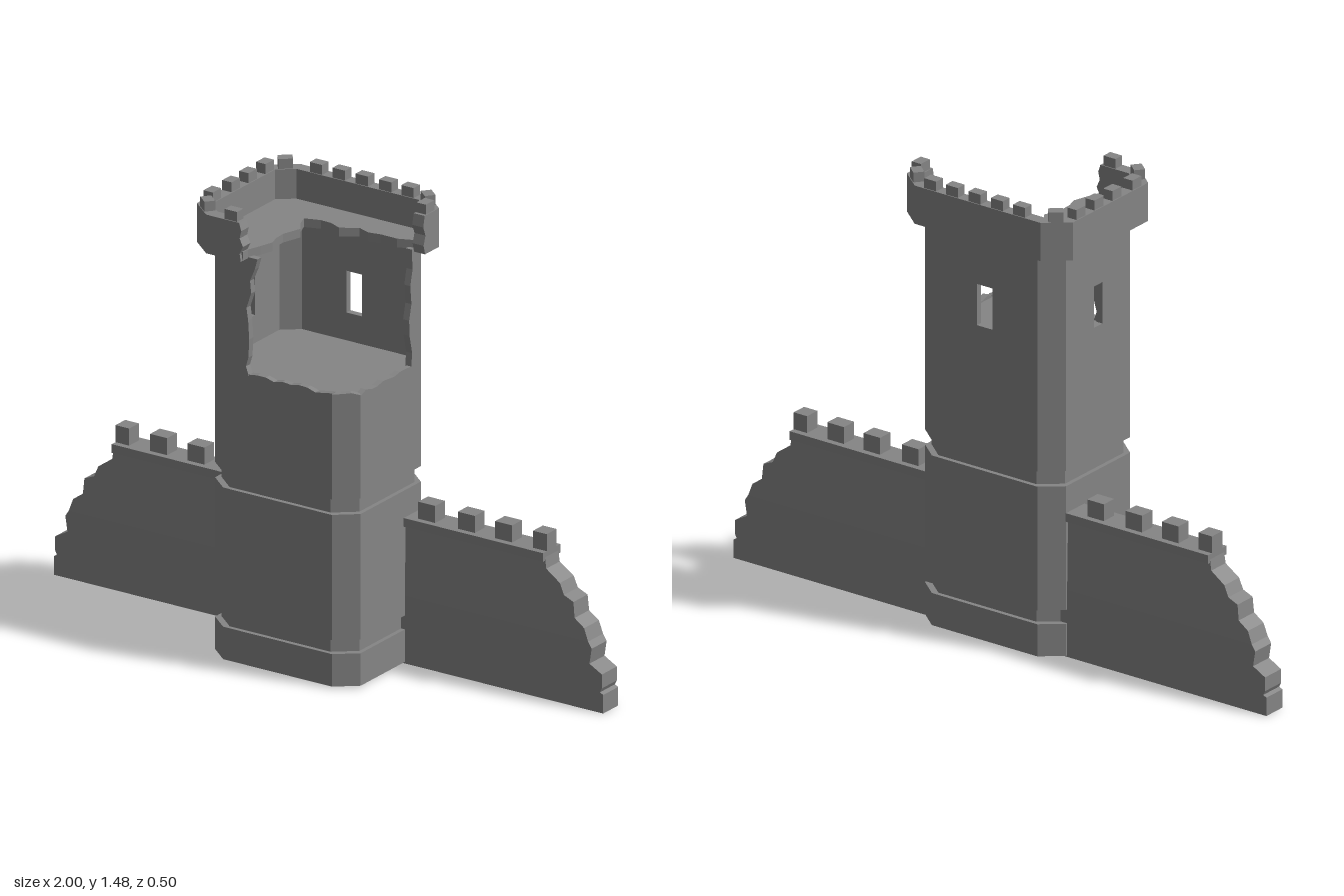
import * as THREE from 'three';

const CX = 0.013; // the tower sits slightly off the centre line

export function createModel() {
  const model = new THREE.Group();
  const mat = new THREE.MeshStandardMaterial({ color: 0x858585, flatShading: true, side: THREE.DoubleSide });

  let seed = 7;
  const rand = () => (seed = (seed * 16807) % 2147483647) / 2147483647;

  const add = (parent, name, geo, x = 0, y = 0, z = 0) => {
    const m = new THREE.Mesh(geo, mat);
    m.name = name;
    m.position.set(x, y, z);
    parent.add(m);
    return m;
  };
  const group = name => {
    const g = new THREE.Group();
    g.name = name;
    model.add(g);
    return g;
  };
  const toShape = pts => new THREE.Shape(pts.map(p => new THREE.Vector2(p[0], p[1])));
  const extrude = (shape, depth) => new THREE.ExtrudeGeometry(shape, { depth, bevelEnabled: false });

  // Rectangle with cut corners as [x, z], starting on the front edge and going round by -x, -z, +x
  const octagon = (hx, hz, cx, cz) => [
    [-hx + cx, hz], [-hx, hz - cz], [-hx, -hz + cz], [-hx + cx, -hz],
    [hx - cx, -hz], [hx, -hz + cz], [hx, hz - cz], [hx - cx, hz],
  ].map(([x, z]) => [x + CX, z]);

  // Wall panel from a to b on the ground plan, its thickness growing inwards
  const panel = (parent, name, a, b, outline, thick, hole) => {
    const u = new THREE.Vector3(b[0] - a[0], 0, b[1] - a[1]);
    const len = u.length();
    u.normalize();
    const shape = toShape(outline(len));
    if (hole) {
      const [c, w, y0, y1] = hole;
      shape.holes.push(new THREE.Path([[c - w, y0], [c - w, y1], [c + w, y1], [c + w, y0]]
        .map(p => new THREE.Vector2(...p))));
    }
    const up = new THREE.Vector3(0, 1, 0);
    const basis = new THREE.Matrix4().makeBasis(u, up, u.clone().cross(up)).setPosition(a[0], 0, a[1]);
    add(parent, name, extrude(shape, thick).applyMatrix4(basis));
  };
  const rect = (y0, y1) => len => [[0, y0], [len, y0], [len, y1], [0, y1]];

  // Lower tower: stacked rings with two recessed bands, open underneath
  const rings = [[0, 0.005], [0, 0.11], [0.014, 0.11], [0.014, 0.155], [0, 0.155],
    [0, 0.56], [0.014, 0.56], [0.014, 0.61], [0, 0.61], [0, 0.937]];
  const pos = [], idx = [];
  rings.forEach(([inset, y], r) => {
    octagon(0.265 - inset, 0.215 - inset, 0.067, 0.055).forEach(([x, z], i) => {
      pos.push(x, y, z);
      if (r) {
        const j = (i + 1) % 8, a = (r - 1) * 8, b = r * 8;
        idx.push(a + i, b + i, a + j, a + j, b + i, b + j);
      }
    });
  });
  const body = new THREE.BufferGeometry();
  body.setAttribute('position', new THREE.Float32BufferAttribute(pos, 3));
  body.setIndex(idx);
  const tower = group('tower');
  const bodyGeo = body.toNonIndexed();
  bodyGeo.computeVertexNormals();
  add(tower, 'towerBody', bodyGeo);

  // Floor of the ruined room
  const plan = octagon(0.265, 0.215, 0.067, 0.055);
  const floorShape = toShape(octagon(0.26, 0.21, 0.067, 0.055).map(([x, z]) => [x, -z]));
  add(tower, 'roomFloor', extrude(floorShape, 0.015).rotateX(-Math.PI / 2), 0, 0.925, 0);

  // Ragged stubs of the fallen walls
  const jagged = len => {
    const n = Math.max(3, Math.round(len / 0.03)), pts = [[0, 0.93], [len, 0.93]];
    for (let i = n; i >= 0; i--) pts.push([len * i / n, 0.941 + 0.013 * rand()]);
    return pts;
  };
  [[[CX + 0.265, -0.11], plan[6]], [plan[6], plan[7]], [plan[7], [-0.09, 0.215]]]
    .forEach(([a, b]) => panel(tower, 'brokenWallStub', a, b, jagged, 0.02));

  // Standing room walls, the first and last ending in a crack
  const Y0 = 0.937, Y1 = 1.325, T = 0.022;
  const crackFront = [[0, Y1], [0.01, 1.29], [0.027, 1.25], [0.023, 1.21], [0.04, 1.16], [0.034, 1.12],
    [0.03, 1.06], [0.033, 1.0], [0.042, 0.97], [0.03, Y0]];
  const crackSide = [[-0.008, Y0], [-0.014, 0.99], [0, 1.05], [0.002, 1.1], [-0.01, 1.15], [-0.004, 1.21],
    [-0.016, 1.26], [-0.012, Y1]];
  panel(tower, 'roomWall', [-0.06, 0.215], plan[0], len => [[len, Y0], [len, Y1], ...crackFront], T);
  for (let i = 0; i < 5; i++) {
    const hole = i === 1 ? [0.16, 0.021, 1.03, 1.165] : i === 3 ? [0.198, 0.029, 1.03, 1.165] : null;
    panel(tower, hole ? 'windowWall' : 'roomWall', plan[i], plan[i + 1], rect(Y0, Y1), T, hole);
  }
  panel(tower, 'roomWall', plan[5], [CX + 0.265, -0.1],
    len => [[0, Y1], [0, Y0], ...crackSide.map(([d, y]) => [len + d, y])], T);

  // Parapet with the same missing corner
  const crown = group('parapet');
  const P0 = 1.32, P1 = 1.445;
  const rim = octagon(0.312, 0.25, 0.076, 0.062);
  panel(crown, 'parapetWall', [-0.085, 0.25], rim[0], len => [[len, P0], [len, P1], [0.018, P1],
    [0.01, 1.42], [0.016, 1.395], [0.004, 1.37], [0.016, 1.345], [0.012, P0]], 0.04);
  for (let i = 0; i < 5; i++) panel(crown, 'parapetWall', rim[i], rim[i + 1], rect(P0, P1), 0.04);
  panel(crown, 'parapetWall', rim[5], [CX + 0.312, -0.1], len => [[0, P1], [0, P0], [len - 0.014, P0],
    [len - 0.006, 1.35], [len - 0.016, 1.38], [len - 0.004, 1.41], [len - 0.012, P1]], 0.04);

  // Broken roof deck, left and back strips only
  const edge = [[0.315, -0.115], [0.27, -0.13], [0.225, -0.112], [0.165, -0.113], [0.125, -0.105],
    [0.083, -0.12], [0.03, -0.087], [-0.01, -0.105], [-0.05, -0.107], [-0.1, -0.09], [-0.085, -0.05],
    [-0.06, -0.015], [-0.08, 0.05], [-0.078, 0.09], [-0.067, 0.125], [-0.08, 0.17], [-0.095, 0.215], [-0.095, 0.24]];
  const deckPlan = [...octagon(0.302, 0.24, 0.076, 0.062).slice(0, 6), ...edge];
  add(crown, 'roofDeck', extrude(toShape(deckPlan.map(([x, z]) => [x, -z])), 0.028).rotateX(-Math.PI / 2), 0, 1.321, 0);

  // Parapet merlons: rows on the sides, one on each cut corner
  const merlon = (x, z, turn = 0) => {
    add(crown, 'parapetMerlon', new THREE.BoxGeometry(0.045, 0.04, 0.034), x, 1.457, z).rotation.y = turn;
  };
  [-0.14, -0.057, 0.027, 0.112, 0.193].forEach(x => merlon(x, -0.23));
  [-0.145, -0.055, 0.035, 0.135].forEach(z => merlon(CX - 0.292, z, Math.PI / 2));
  merlon(-0.135, 0.23);
  merlon(CX + 0.292, -0.145, Math.PI / 2);
  const corner = Math.atan2(0.062, 0.076);
  merlon(CX - 0.26, 0.206, -corner);
  merlon(CX - 0.26, -0.206, corner);
  merlon(CX + 0.26, -0.206, -corner);

  // Curtain wall running through the tower: hollow, open underneath, with crumbling ends
  const curtain = group('curtainWall');
  const MID = 0.22, WZ = -0.115;
  const lowerEnd = [[1, 0], [1, 0.06], [0.988, 0.066], [0.995, 0.08], [0.995, 0.125], [0.95, 0.15],
    [0.958, 0.2], [0.945, MID]];
  const upperEnd = [[0.945, MID], [0.93, 0.26], [0.895, 0.285], [0.89, 0.335], [0.855, 0.35], [0.84, 0.385],
    [0.79, 0.42], [0.785, 0.455]];
  // Mirrored slab without its level top and bottom, leaning in above the middle
  const wallSkin = end => {
    const outline = [...end, ...end.slice().reverse().map(([x, y]) => [-x, y])];
    const p = extrude(toShape(outline), 0.08).translate(0, 0, -0.04).getAttribute('position');
    const kept = [];
    for (let t = 0; t < p.count; t += 3) {
      if (p.getY(t) === p.getY(t + 1) && p.getY(t) === p.getY(t + 2)) continue;
      for (let i = t; i < t + 3; i++) {
        const lean = 1 - 0.5 * Math.max(0, p.getY(i) - MID);
        kept.push(p.getX(i), p.getY(i), p.getZ(i) * lean);
      }
    }
    const geo = new THREE.BufferGeometry();
    geo.setAttribute('position', new THREE.Float32BufferAttribute(kept, 3));
    geo.computeVertexNormals();
    return geo;
  };
  add(curtain, 'lowerWall', wallSkin(lowerEnd), 0, 0, WZ);
  add(curtain, 'upperWall', wallSkin(upperEnd), 0, 0, WZ);
  add(curtain, 'wallCap', new THREE.BoxGeometry(1.57, 0.028, 0.092), 0, 0.458, -0.115);
  for (const s of [-1, 1]) {
    for (const x of [0.348, 0.492, 0.628, 0.76]) {
      add(curtain, 'wallMerlon', new THREE.BoxGeometry(x > 0.7 ? 0.05 : 0.062, 0.06, 0.052), s * x, 0.497, -0.115);
    }
  }
  return model;
}
